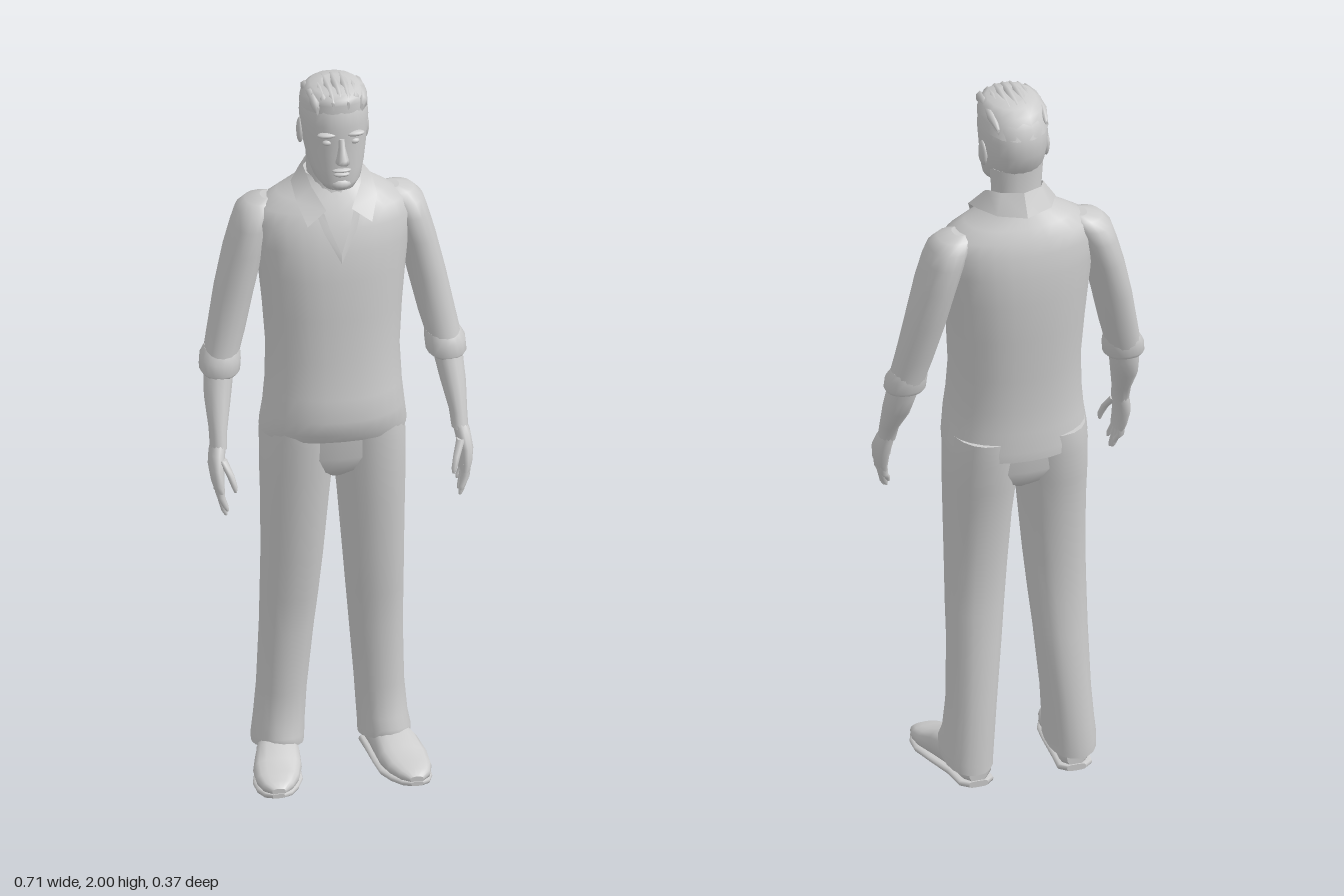
import * as THREE from 'three';

const material = new THREE.MeshStandardMaterial({ color: 0xcccccc, side: THREE.DoubleSide });
material.name = 'plain grey';

// Skin a list of closed rings (arrays of Vector3) and cap both ends.
function skin(rings) {
  const n = rings[0].length, pos = [], idx = [];
  rings.forEach(r => r.forEach(p => pos.push(p.x, p.y, p.z)));
  for (let i = 0; i < rings.length - 1; i++) for (let j = 0; j < n; j++) {
    const a = i * n + j, b = i * n + (j + 1) % n;
    idx.push(a, a + n, b, b, a + n, b + n);
  }
  [[rings[0], false], [rings[rings.length - 1], true]].forEach(([ring, top]) => {
    const base = pos.length / 3, c = new THREE.Vector3();
    ring.forEach(p => { pos.push(p.x, p.y, p.z); c.addScaledVector(p, 1 / n); });
    pos.push(c.x, c.y, c.z);
    for (let j = 0; j < n; j++) {
      const a = base + j, b = base + (j + 1) % n;
      idx.push(...(top ? [a, base + n, b] : [a, b, base + n]));
    }
  });
  return surface(pos, idx);
}

function surface(pos, idx) {
  const g = new THREE.BufferGeometry();
  g.setAttribute('position', new THREE.Float32BufferAttribute(pos, 3));
  g.setIndex(idx);
  g.computeVertexNormals();
  return g;
}

const bend = (v, p) => Math.sign(v) * Math.pow(Math.abs(v), 2 / p);

// Upright loft; rows run bottom to top: [y, centre x, half width, front z, back z, tilt].
function loft(rows, sides = 20, power = 2.2) {
  return skin(rows.map(([y, cx, rx, zf, zb, tilt = 0]) => {
    const zm = (zf + zb) / 2, rz = (zf - zb) / 2;
    return Array.from({ length: sides }, (_, j) => {
      const a = j / sides * Math.PI * 2;
      const dz = bend(Math.sin(a), power) * rz;
      return new THREE.Vector3(cx + bend(Math.cos(a), power) * rx, y + tilt * dz, zm + dz);
    });
  }));
}

// Loft running forward along z: [z, centre x, half width, bottom y, top y].
function forwardLoft(rows, sides = 16, power = 2.5) {
  return skin(rows.map(([z, cx, rx, y0, y1]) => Array.from({ length: sides }, (_, j) => {
    const a = j / sides * Math.PI * 2;
    return new THREE.Vector3(cx + bend(Math.sin(a), power) * rx,
      (y0 + y1) / 2 + bend(Math.cos(a), power) * (y1 - y0) / 2, z);
  })));
}

// Open strip between two edges of equal length.
function strip(top, low) {
  const pos = [], idx = [];
  top.forEach((p, i) => {
    pos.push(...p, ...low[i]);
    if (i) idx.push(2 * i - 2, 2 * i - 1, 2 * i, 2 * i, 2 * i - 1, 2 * i + 1);
  });
  return surface(pos, idx);
}

function ball(x, y, z, rx, ry, rz) {
  return new THREE.SphereGeometry(1, 12, 8).scale(rx, ry, rz).translate(x, y, z);
}

function mirrored(geo) {
  const g = geo.clone().scale(-1, 1, 1), ix = g.index.array;
  for (let i = 0; i < ix.length; i += 3) [ix[i], ix[i + 1]] = [ix[i + 1], ix[i]];
  g.computeVertexNormals();
  return g;
}

export function createModel() {
  const model = new THREE.Group();
  model.name = 'standingMan';
  const add = (name, geo) => {
    const m = new THREE.Mesh(geo, material);
    m.name = name;
    model.add(m);
  };
  const pair = (name, geo) => {
    add(name + 'Left', geo);
    add(name + 'Right', mirrored(geo));
  };

  // Shirt body, hanging loose at the hem
  add('shirt', loft([
    [0.985, 0, 0.194, 0.115, -0.170, 0.06], [1.01, 0, 0.193, 0.128, -0.172, 0.05],
    [1.06, 0, 0.186, 0.139, -0.168], [1.12, 0, 0.180, 0.128, -0.165],
    [1.22, 0, 0.176, 0.114, -0.168], [1.34, 0, 0.184, 0.108, -0.178],
    [1.45, 0, 0.195, 0.101, -0.182], [1.53, 0, 0.205, 0.090, -0.180],
    [1.59, 0, 0.212, 0.070, -0.170], [1.63, 0, 0.195, 0.052, -0.157],
    [1.66, 0, 0.145, 0.036, -0.142], [1.69, 0, 0.092, 0.020, -0.128],
    [1.715, 0, 0.074, 0.006, -0.115]], 28));

  // Collar wings and the edges of the open neck
  pair('collar', strip(
    [[0, 1.75, -0.108], [0.055, 1.748, -0.085], [0.077, 1.735, -0.035], [0.066, 1.70, 0.022], [0.034, 1.645, 0.062]],
    [[0, 1.69, -0.138], [0.075, 1.695, -0.11], [0.108, 1.69, -0.045], [0.108, 1.665, 0.03], [0.086, 1.608, 0.074]]));
  pair('neckOpening', strip(
    [[0.048, 1.665, 0.046], [0.028, 1.60, 0.073], [0, 1.53, 0.097]],
    [[0.066, 1.655, 0.046], [0.044, 1.59, 0.076], [0, 1.505, 0.1]]));

  // Sleeves with rolled cuffs
  pair('sleeve', loft([
    [1.21, 0.298, 0.046, 0.022, -0.085], [1.28, 0.281, 0.049, 0.014, -0.100],
    [1.39, 0.257, 0.051, 0.012, -0.128], [1.50, 0.231, 0.051, 0.015, -0.145],
    [1.57, 0.210, 0.052, 0.012, -0.146], [1.61, 0.196, 0.053, 0.000, -0.140],
    [1.635, 0.180, 0.045, -0.02, -0.120], [1.645, 0.165, 0.020, -0.04, -0.095]], 16));
  pair('cuff', loft([
    [1.168, 0.303, 0.046, 0.026, -0.074, -0.15], [1.178, 0.302, 0.054, 0.033, -0.082, -0.15],
    [1.21, 0.299, 0.054, 0.030, -0.086, -0.15], [1.232, 0.293, 0.047, 0.018, -0.084, -0.15]], 16));

  // Forearms and hands
  pair('forearm', loft([
    [0.985, 0.322, 0.022, 0.092, 0.030], [1.03, 0.320, 0.024, 0.078, 0.012],
    [1.10, 0.314, 0.034, 0.054, -0.042], [1.15, 0.308, 0.038, 0.034, -0.060],
    [1.20, 0.300, 0.038, 0.018, -0.070]], 14));
  pair('palm', loft([
    [0.88, 0.326, 0.012, 0.134, 0.058], [0.90, 0.330, 0.016, 0.134, 0.050],
    [0.94, 0.332, 0.020, 0.124, 0.036], [0.975, 0.327, 0.021, 0.103, 0.030],
    [1.00, 0.321, 0.020, 0.086, 0.026]], 12));
  [[0.122, 0.832], [0.104, 0.812], [0.086, 0.820], [0.068, 0.842]].forEach(([z, tip], i) => {
    pair('finger' + (i + 1), loft([
      [tip, 0.312, 0.004, z + 0.014, z + 0.004], [tip + 0.012, 0.316, 0.008, z + 0.016, z - 0.001],
      [0.868, 0.326, 0.010, z + 0.010, z - 0.009], [0.90, 0.329, 0.011, z + 0.009, z - 0.010]], 8, 2));
  });
  pair('thumb', loft([
    [0.886, 0.291, 0.004, 0.142, 0.130], [0.90, 0.293, 0.008, 0.145, 0.126],
    [0.93, 0.302, 0.010, 0.134, 0.112], [0.965, 0.318, 0.012, 0.110, 0.080]], 8, 2));

  // Trousers: seat plus two flared legs
  add('trouserSeat', loft([
    [0.855, 0, 0.03, 0.030, -0.085], [0.885, 0, 0.12, 0.070, -0.125],
    [0.93, 0, 0.180, 0.090, -0.150], [1.03, 0, 0.186, 0.100, -0.155]], 24));
  pair('trouserLeg', loft([
    [0.06, 0.142, 0.067, 0.040, -0.145, 0.22], [0.085, 0.142, 0.068, 0.044, -0.145, 0.2],
    [0.13, 0.137, 0.066, 0.028, -0.142], [0.22, 0.130, 0.065, 0.020, -0.137],
    [0.40, 0.119, 0.071, 0.026, -0.123], [0.50, 0.114, 0.076, 0.040, -0.116],
    [0.62, 0.108, 0.081, 0.057, -0.116], [0.78, 0.102, 0.088, 0.078, -0.130],
    [0.88, 0.098, 0.094, 0.088, -0.146], [0.97, 0.094, 0.097, 0.098, -0.160],
    [1.03, 0.090, 0.094, 0.100, -0.160]], 20));

  // Shoes, toes turned slightly out
  pair('shoe', forwardLoft([
    [-0.132, 0.135, 0.025, 0.012, 0.07], [-0.115, 0.136, 0.044, 0.010, 0.09],
    [-0.04, 0.145, 0.050, 0.010, 0.11], [0.03, 0.158, 0.060, 0.010, 0.098],
    [0.08, 0.168, 0.065, 0.010, 0.072], [0.125, 0.176, 0.058, 0.010, 0.056],
    [0.16, 0.182, 0.042, 0.010, 0.046], [0.180, 0.184, 0.018, 0.014, 0.032]]));
  pair('sole', forwardLoft([
    [-0.136, 0.135, 0.026, 0, 0.018], [-0.118, 0.136, 0.048, 0, 0.018],
    [-0.05, 0.143, 0.050, 0, 0.018], [0.03, 0.158, 0.062, 0.002, 0.018],
    [0.09, 0.169, 0.067, 0, 0.018], [0.135, 0.178, 0.056, 0, 0.018],
    [0.168, 0.183, 0.038, 0.002, 0.018], [0.183, 0.185, 0.016, 0.006, 0.018]], 16, 4));

  // Neck and head
  add('neck', loft([
    [1.60, 0, 0.072, 0.050, -0.11], [1.68, 0, 0.066, 0.026, -0.105],
    [1.74, 0, 0.066, 0.012, -0.098], [1.81, 0, 0.072, 0.02, -0.098]], 18));
  add('head', loft([
    [1.712, 0, 0.024, 0.085, 0.030, 0.05], [1.722, 0, 0.042, 0.094, 0.010, -0.1],
    [1.745, 0, 0.062, 0.098, -0.035, -0.12], [1.78, 0, 0.074, 0.097, -0.085, -0.08],
    [1.82, 0, 0.081, 0.098, -0.110], [1.86, 0, 0.086, 0.096, -0.122],
    [1.90, 0, 0.089, 0.099, -0.124], [1.94, 0, 0.086, 0.090, -0.114],
    [1.97, 0, 0.072, 0.076, -0.092], [1.985, 0, 0.045, 0.045, -0.06]], 24));

  // Face
  add('nose', loft([
    [1.797, 0, 0.013, 0.112, 0.085], [1.806, 0, 0.019, 0.134, 0.085],
    [1.818, 0, 0.015, 0.131, 0.085], [1.845, 0, 0.009, 0.113, 0.085],
    [1.868, 0, 0.008, 0.101, 0.085]], 10));
  add('upperLip', ball(0, 1.777, 0.096, 0.026, 0.006, 0.011));
  add('lowerLip', ball(0, 1.765, 0.095, 0.022, 0.007, 0.011));
  add('chin', ball(0, 1.734, 0.086, 0.028, 0.017, 0.018));
  pair('brow', ball(0.036, 1.878, 0.086, 0.028, 0.008, 0.014));
  pair('eye', ball(0.036, 1.855, 0.084, 0.014, 0.008, 0.010));
  pair('ear', ball(0.088, 1.845, -0.022, 0.010, 0.036, 0.022).rotateY(0.06));

  // Short hair: a cap with raised locks combed backward
  add('hairCap', loft([
    [1.925, 0, 0.090, 0.092, -0.122, 0.12], [1.95, 0, 0.088, 0.092, -0.112, 0.1],
    [1.972, 0, 0.080, 0.088, -0.098, 0.03], [1.986, 0, 0.064, 0.074, -0.078],
    [1.991, 0, 0.035, 0.045, -0.045]], 14));
  for (let i = 0; i < 7; i++) {
    const x = (i - 3) * 0.022, drop = x * x * 4, wave = (i % 2) * 0.008;
    add('hairLock' + (i + 1), forwardLoft([
      [-0.096 + wave, x, 0.004, 1.955 - drop, 1.966 - drop],
      [-0.055, x * 1.05, 0.012, 1.965 - drop, 1.992 - drop],
      [0.02, x, 0.013, 1.970 - drop, 2.0 - drop],
      [0.07, x * 0.95, 0.011, 1.958 - drop, 1.992 - drop],
      [0.092 - drop - wave, x * 0.9, 0.004, 1.950 - drop, 1.974 - drop]], 6, 2));
  }
  return model;
}
